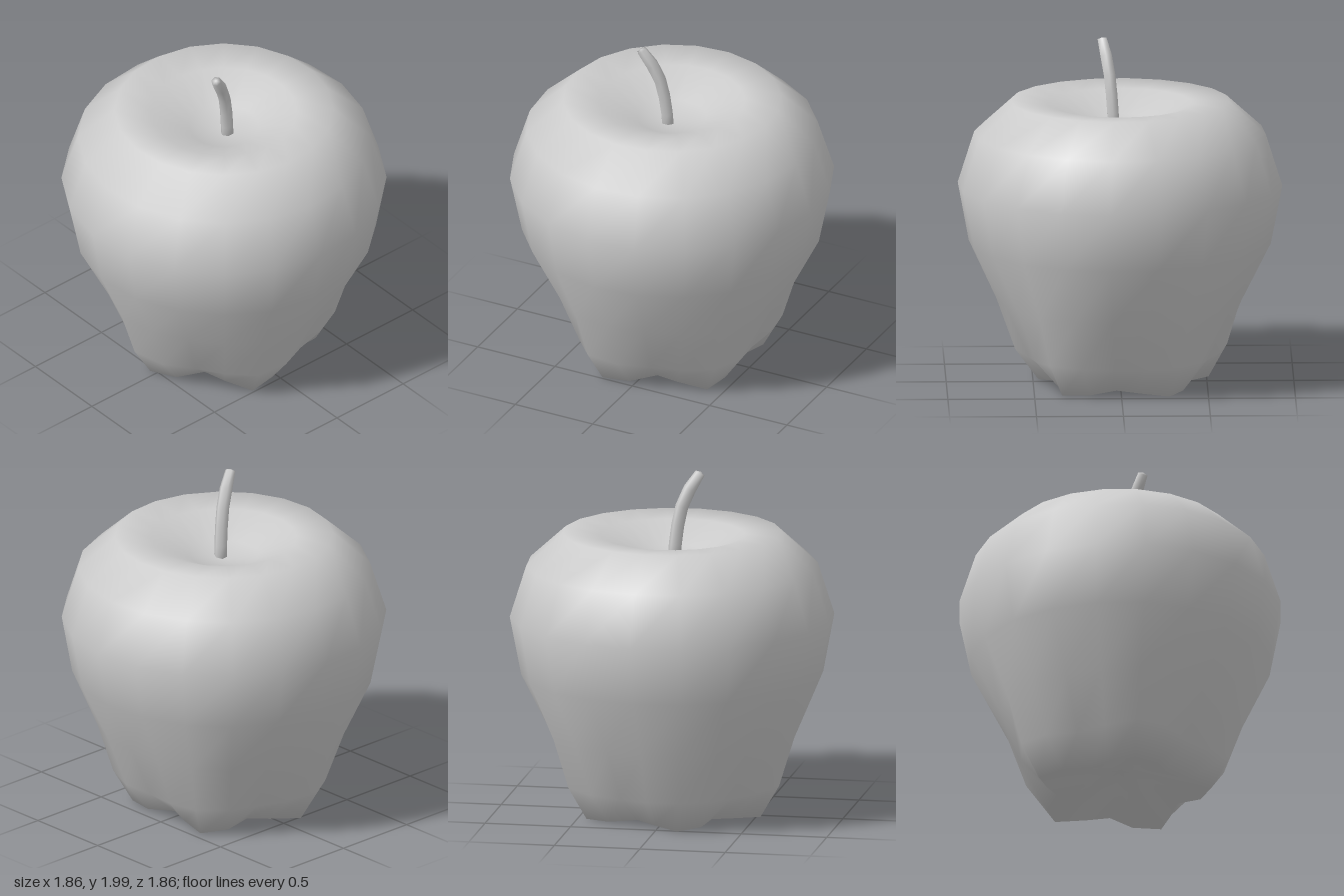
import * as THREE from 'three';

const DEG = Math.PI / 180;

// Closed smooth skin through rings of equal length, ended by a point at each end.
function loft(rings, start, end) {
  const n = rings[0].length;
  const points = [start, ...rings.flat(), end];
  const last = points.length - 1;
  const at = (i, j) => 1 + i * n + (j % n);
  const index = [];
  for (let j = 0; j < n; j++) {
    index.push(0, at(0, j + 1), at(0, j));
    for (let i = 0; i < rings.length - 1; i++) {
      const a = at(i, j), b = at(i, j + 1), c = at(i + 1, j), d = at(i + 1, j + 1);
      index.push(a, b, d, a, d, c);
    }
    index.push(at(rings.length - 1, j), at(rings.length - 1, j + 1), last);
  }
  const geometry = new THREE.BufferGeometry().setFromPoints(points);
  geometry.setIndex(index);
  geometry.computeVertexNormals();
  return geometry;
}

function makeBody() {
  // [y on lobe, radius on lobe, y between lobes, radius between lobes]
  const profile = [
    [0.1, 0.22, 0.12, 0.13],
    [0.0, 0.53, 0.02, 0.36],
    [0.19, 0.64, 0.17, 0.54],
    [0.48, 0.73, 0.48, 0.68],
    [0.82, 0.875, 0.82, 0.865],
    [1.16, 0.935, 1.16, 0.935],
    [1.46, 0.84, 1.46, 0.84],
    [1.65, 0.63, 1.65, 0.63],
    [1.635, 0.42, 1.635, 0.42],
    [1.53, 0.2, 1.53, 0.2],
  ];
  const sides = 20;
  const rings = profile.map(([yLobe, rLobe, yGap, rGap]) =>
    Array.from({ length: sides }, (_, j) => {
      const angle = (-4.3 + (j * 360) / sides) * DEG;
      // five lobes around the base
      const lobe = 0.5 + 0.5 * Math.cos(5 * (angle + 37 * DEG));
      const r = THREE.MathUtils.lerp(rGap, rLobe, lobe);
      const y = THREE.MathUtils.lerp(yGap, yLobe, lobe);
      return new THREE.Vector3(r * Math.cos(angle), y, -r * Math.sin(angle));
    }));
  return loft(rings, new THREE.Vector3(0, 0.15, 0), new THREE.Vector3(0, 1.5, 0));
}

function makeStem() {
  const path = new THREE.CatmullRomCurve3([
    new THREE.Vector3(-0.005, 1.46, 0.035),
    new THREE.Vector3(-0.02, 1.65, 0.045),
    new THREE.Vector3(-0.06, 1.83, 0.065),
    new THREE.Vector3(-0.145, 1.98, 0.1),
  ]);
  const up = new THREE.Vector3(0, 1, 0);
  const steps = 5, sides = 6;
  const rings = [];
  for (let i = 0; i <= steps; i++) {
    const t = i / steps;
    const centre = path.getPointAt(t);
    const tilt = new THREE.Quaternion().setFromUnitVectors(up, path.getTangentAt(t));
    const r = i === steps ? 0.03 : 0.038;
    rings.push(Array.from({ length: sides }, (_, j) => {
      const a = (j / sides) * Math.PI * 2;
      return new THREE.Vector3(r * Math.cos(a), 0, -r * Math.sin(a)).applyQuaternion(tilt).add(centre);
    }));
  }
  return loft(rings, path.getPoint(0), path.getPoint(1).add(new THREE.Vector3(-0.004, 0.008, 0.003)));
}

export function createModel() {
  const group = new THREE.Group();
  group.name = 'apple';
  const material = new THREE.MeshStandardMaterial({ color: 0xcccccc });
  const add = (name, geometry) => {
    const mesh = new THREE.Mesh(geometry, material);
    mesh.name = name;
    group.add(mesh);
  };
  add('body', makeBody());
  add('stem', makeStem());
  return group;
}
